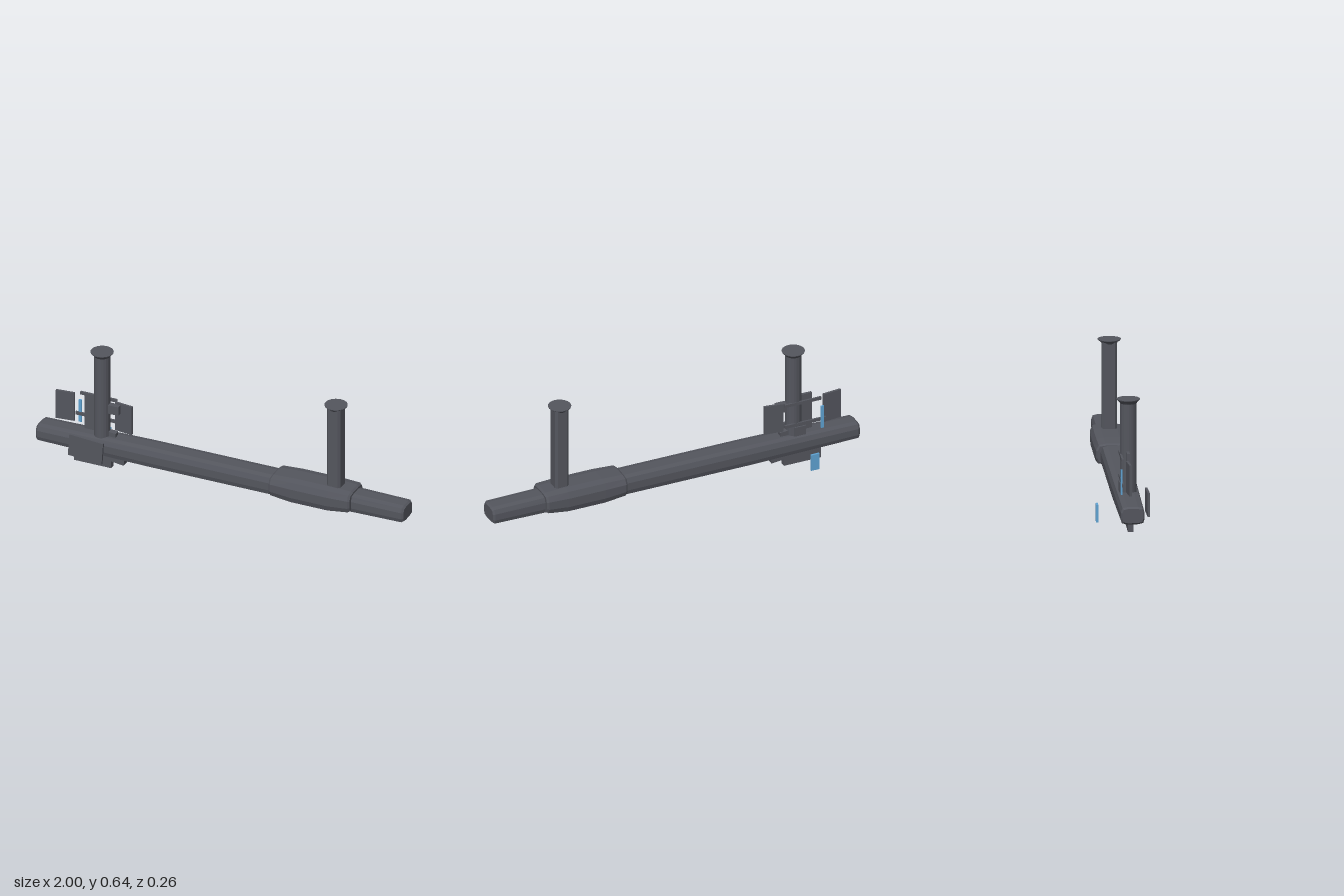
import * as THREE from 'three';

const dark = new THREE.MeshStandardMaterial({ color: 0x54565e });
dark.name = 'dark grey';
dark.flatShading = true;
const smoothDark = dark;
const blue = new THREE.MeshStandardMaterial({ color: 0x5fa3d3 });
blue.name = 'blue';

// half of the barrel-shaped section as [y, z], mirrored in z below
const half = [[1, 0.45], [0.88, 0.85], [0.37, 1], [-0.4, 1], [-0.86, 0.9], [-1, 0.45]];
const section = [...half, ...half.map(([y, z]) => [y, -z]).reverse()];

// skin through sections [x, centre y, half height, half width], closed at both ends
function loft(stations, cz) {
  const n = section.length, pos = [], idx = [];
  for (const [x, cy, h, w] of stations)
    for (const [y, z] of section) pos.push(x, cy + y * h, cz + z * w);
  for (let i = 0; i < stations.length - 1; i++)
    for (let j = 0; j < n; j++) {
      const a = i * n + j, b = i * n + (j + 1) % n;
      idx.push(a, b, a + n, b, b + n, a + n);
    }
  const last = (stations.length - 1) * n;
  for (let j = 1; j < n - 1; j++) {
    idx.push(0, j + 1, j);
    idx.push(last, last + j, last + j + 1);
  }
  const g = new THREE.BufferGeometry();
  g.setAttribute('position', new THREE.Float32BufferAttribute(pos, 3));
  g.setIndex(idx);
  const flat = g.toNonIndexed();
  flat.computeVertexNormals();
  return flat;
}

export function createModel() {
  const model = new THREE.Group();
  model.name = 'railAssembly';

  function add(name, geometry, material = dark, parent = model) {
    const mesh = new THREE.Mesh(geometry, material);
    mesh.name = name;
    parent.add(mesh);
    return mesh;
  }
  function box(name, [w, h, d], [x, y, z], material = dark, ry = 0, rz = 0) {
    const mesh = add(name, new THREE.BoxGeometry(w, h, d), material);
    mesh.position.set(x, y, z);
    mesh.rotation.set(0, ry, rz);
  }

  // long rail with slightly domed ends
  add('rail', loft([
    [-1, 0.131, 0.036, 0.052], [-0.99, 0.131, 0.044, 0.059],
    [-0.4, 0.131, 0.052, 0.064], [0.4, 0.131, 0.052, 0.064],
    [0.99, 0.131, 0.044, 0.059], [1, 0.131, 0.036, 0.052],
  ], 0.031));

  // thicker sleeve around the rail
  add('sleeve', loft([
    [0.278, 0.139, 0.046, 0.079], [0.288, 0.139, 0.053, 0.086],
    [0.4, 0.136, 0.062, 0.09], [0.6, 0.136, 0.062, 0.09],
    [0.708, 0.141, 0.053, 0.086], [0.718, 0.141, 0.046, 0.079],
  ], 0.031));

  // hanging posts with flared tops
  const flare = r => new THREE.LatheGeometry([
    [r * 0.9, 0.615], [r, 0.627], [r + 0.007, 0.636], [0.057, 0.645], [0.058, 0.649], [0, 0.649],
  ].map(([x, y]) => new THREE.Vector2(x, y)), 28);

  const leftPost = new THREE.Group();
  leftPost.name = 'sleevePost';
  leftPost.position.set(0.611, 0, 0.034);
  model.add(leftPost);
  const a = 0.037, b = 0.026;
  const outline = new THREE.Shape([[a, -b], [a, b], [b, a], [-b, a], [-a, b], [-a, -b], [-b, -a], [b, -a]]
    .map(([x, y]) => new THREE.Vector2(x, y)));
  const shaft = new THREE.ExtrudeGeometry(outline, { depth: 0.49, bevelEnabled: false });
  shaft.rotateX(-Math.PI / 2).translate(0, 0.15, 0);
  add('sleevePostShaft', shaft, dark, leftPost);
  add('sleevePostFlare', flare(0.037), smoothDark, leftPost);

  const rightPost = new THREE.Group();
  rightPost.name = 'bracketPost';
  rightPost.position.set(-0.662, 0, 0.034);
  model.add(rightPost);
  const round = new THREE.CylinderGeometry(0.041, 0.041, 0.49, 20);
  round.translate(0, 0.395, 0);
  add('bracketPostShaft', round, smoothDark, rightPost);
  add('bracketPostFlare', flare(0.041), smoothDark, rightPost);

  // upright panels beside the bracket post
  box('outerPanel', [0.098, 0.158, 0.012], [-0.867, 0.289, 0.022], dark, 0.1);
  box('innerPanel', [0.098, 0.158, 0.012], [-0.549, 0.289, 0.022], dark, -0.12);
  box('middlePanel', [0.075, 0.2, 0.014], [-0.72, 0.29, 0.028]);
  box('sideBlock', [0.055, 0.048, 0.03], [-0.594, 0.336, 0.035]);
  box('footBlock', [0.055, 0.04, 0.03], [-0.612, 0.185, 0.03], dark, 0, -0.08);
  box('backFoot', [0.06, 0.05, 0.008], [-0.68, 0.205, -0.009]);

  // cross bars behind the bracket post
  box('upperCrossBar', [0.2, 0.016, 0.01], [-0.697, 0.363, -0.004]);
  box('lowerCrossBar', [0.225, 0.016, 0.01], [-0.71, 0.243, -0.004]);

  // plate on the front face of the rail
  box('frontPlate', [0.184, 0.118, 0.012], [-0.708, 0.13, 0.126], dark, 0, -0.07);

  // fin and block beneath the rail
  box('lowerFin', [0.203, 0.09, 0.027], [-0.707, 0.049, 0.035]);
  box('lowerBlock', [0.09, 0.033, 0.053], [-0.575, 0.064, 0.035], dark, 0, -0.12);

  // blue strips
  box('uprightStrip', [0.016, 0.125, 0.008], [-0.8, 0.257, -0.01], blue);
  box('rearStrip', [0.045, 0.089, 0.011], [-0.707, 0.082, -0.125], blue);

  return model;
}
